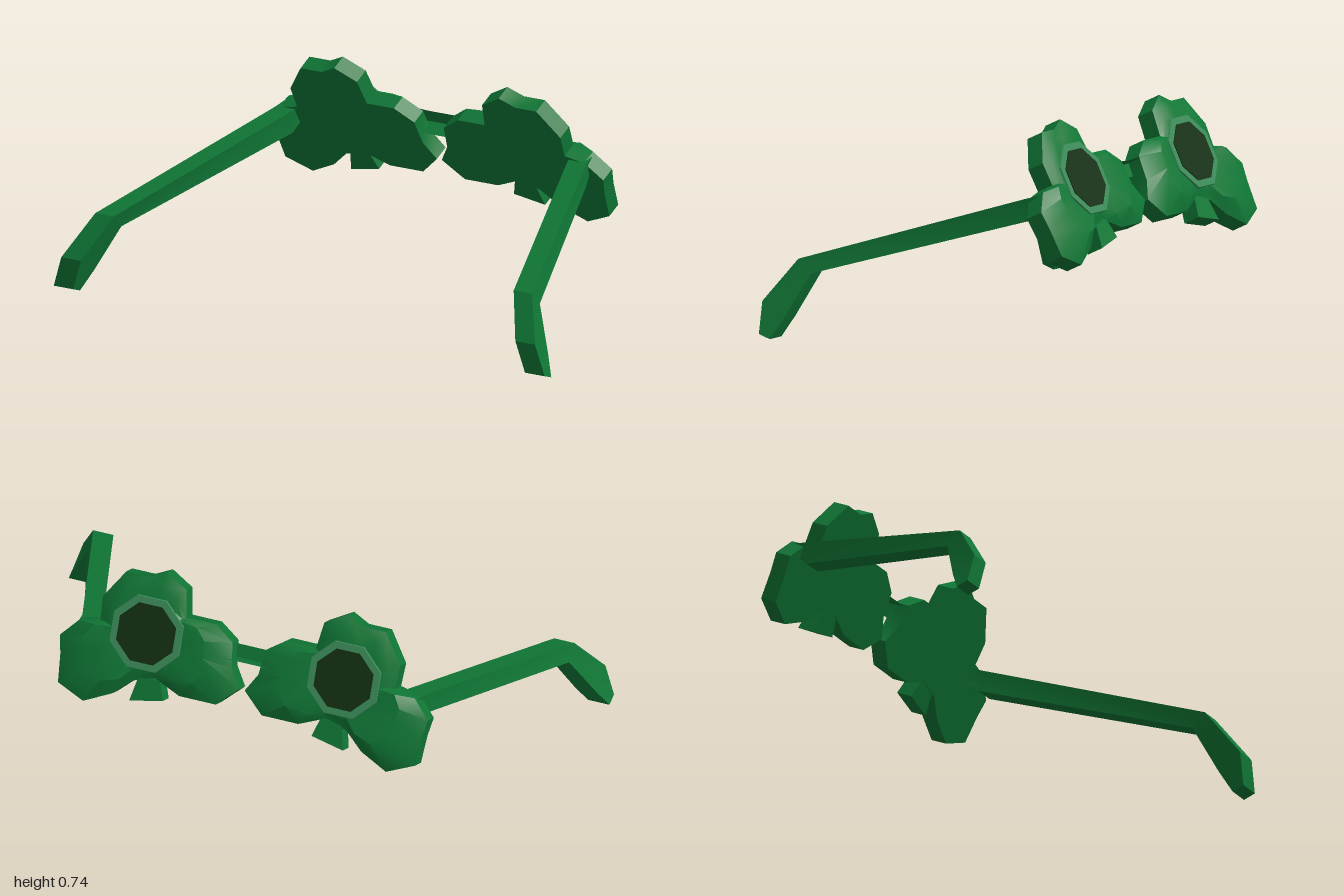
import * as THREE from 'three';
import { toCreasedNormals } from 'three/addons/utils/BufferGeometryUtils.js';

const mat = (name, color) => {
  const m = new THREE.MeshStandardMaterial({ color });
  m.name = name;
  return m;
};

// Skin a series of equal-length loops and close both ends; side -1 mirrors in x
function loft(loops, side, crease = 0.6) {
  const pos = [], idx = [], n = loops[0].length;
  const put = p => pos.push(p[0] * side, p[1], p[2]);
  const tri = (a, b, c) => side > 0 ? idx.push(a, b, c) : idx.push(a, c, b);
  const mean = l => [0, 1, 2].map(k => l.reduce((s, p) => s + p[k], 0) / n);
  loops.forEach(l => l.forEach(put));
  const last = (loops.length - 1) * n, c0 = loops.length * n, c1 = c0 + 1;
  put(loops[0].centre || mean(loops[0]));
  put(loops[loops.length - 1].centre || mean(loops[loops.length - 1]));
  for (let i = 0; i < n; i++) {
    const j = (i + 1) % n;
    for (let k = 0; k < last; k += n) {
      tri(k + i, k + j, k + n + j);
      tri(k + i, k + n + j, k + n + i);
    }
    tri(c0, j, i);
    tri(c1, last + i, last + j);
  }
  const g = new THREE.BufferGeometry();
  g.setAttribute('position', new THREE.Float32BufferAttribute(pos, 3));
  g.setIndex(idx);
  return toCreasedNormals(g, crease);
}

// Tilted plane of the frame: v runs up the plane, n points out of the lens side
const tilt = (x, v, n) => [x, 0.25 + 0.904 * v + 0.428 * n, -0.46 + 0.428 * v - 0.904 * n];
const CX = 0.365, CV = 0.288;
const toV = ([x, y]) => [x, (y - 0.25) / 0.904];

// Three-leaf outline: top leaf, outer leaf, inner leaf
const clover = [
  [0.24, 0.585], [0.255, 0.67], [0.335, 0.712], [0.395, 0.685], [0.48, 0.685], [0.55, 0.59],
  [0.545, 0.515], [0.62, 0.5], [0.68, 0.44], [0.668, 0.38], [0.66, 0.29], [0.56, 0.25],
  [0.46, 0.295], [0.395, 0.35],
  [0.31, 0.37], [0.22, 0.335], [0.085, 0.335], [0.01, 0.4], [0.05, 0.46], [0.06, 0.54], [0.13, 0.585],
].map(toV);
const stem = [[0.305, 0.39], [0.37, 0.39], [0.395, 0.285], [0.275, 0.308]].map(toV);

function frameLoops() {
  const ring = (t, height) => {
    const l = clover.map(([x, v]) => {
      const dx = x - CX, dv = v - CV, r = Math.hypot(dx, dv);
      const R = r + (0.125 - r) * t;
      return tilt(CX + dx / r * R, CV + dv / r * R, height(r));
    });
    l.centre = tilt(CX, CV, height(0));
    return l;
  };
  const puff = r => 0.07 + 0.03 * THREE.MathUtils.clamp((r - 0.17) / 0.12, 0, 1);
  return [ring(0, () => 0), ring(0, () => 0.063), ring(0.5, puff), ring(1, () => 0.083)];
}

// Thin octagonal plate lying on the frame
const octagon = (r, n) => Array.from({ length: 8 }, (_, i) => {
  const a = -(i + 0.5) * Math.PI / 4;
  return tilt(CX + r * Math.cos(a), CV + r * Math.sin(a), n);
});

// Temple stations: inner x, outer x, top [y, z], bottom [y, z]
const templeLoops = [
  [0.55, 0.625, [0.515, -0.39], [0.455, -0.37]],
  [0.56, 0.635, [0.5, -0.33], [0.42, -0.33]],
  [0.815, 0.89, [0.27, 0.42], [0.222, 0.37]],
  [0.885, 0.965, [0.125, 0.52], [0.07, 0.435]],
  [0.92, 1.0, [0.015, 0.513], [0.0, 0.47]],
].map(([xi, xo, t, b]) => [[xi, ...b], [xo, ...b], [xo, ...t], [xi, ...t]]);

export function createModel() {
  const green = mat('leaf green', 0x0f7635);
  const rim = mat('pale green rim', 0x3a8a58);
  const dark = mat('dark lens', 0x122f10);
  const model = new THREE.Group();
  model.name = 'cloverGlasses';
  const add = (parent, name, geo, material) => {
    const m = new THREE.Mesh(geo, material);
    m.name = name;
    parent.add(m);
  };

  for (const side of [1, -1]) {
    const half = new THREE.Group();
    half.name = side > 0 ? 'leftSide' : 'rightSide';
    add(half, 'cloverFrame', loft(frameLoops(), side), green);
    add(half, 'stem', loft([0.003, 0.065].map(n => stem.map(([x, v]) => tilt(x, v, n))), side, 0.3), green);
    add(half, 'lensRim', loft([octagon(0.14, 0.083), octagon(0.138, 0.089)], side, 0.3), rim);
    add(half, 'lens', loft([octagon(0.112, 0.087), octagon(0.112, 0.092)], side, 0.3), dark);
    add(half, 'temple', loft(templeLoops, side, 0.3), green);
    model.add(half);
  }

  // Bridge between the two clovers, slightly waisted
  const bridge = [[-0.13, 0.03], [-0.05, 0.024], [0.05, 0.024], [0.13, 0.03]].map(([x, h]) =>
    [[-h, 0.015], [-h, 0.078], [h, 0.078], [h, 0.015]].map(([v, n]) => tilt(x, 0.288 + v, n)).reverse());
  add(model, 'bridge', loft(bridge, 1, 0.3), green);
  return model;
}
